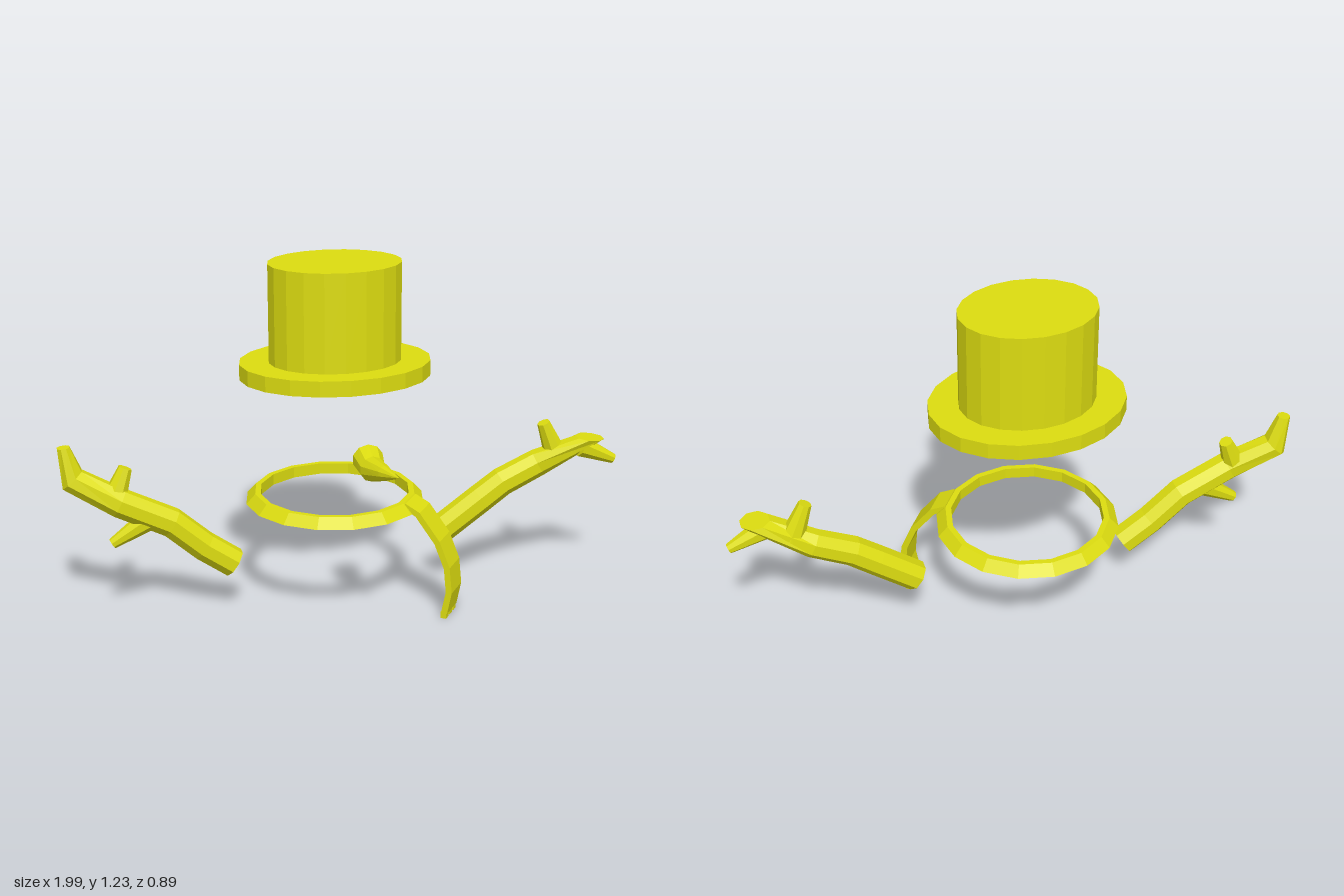
import * as THREE from 'three';

const V = (p) => new THREE.Vector3(...p);

// Capped loft through rings [x, y, z, radius]; endNormal optionally tilts the last ring
function loft(rings, sides, ref, endNormal) {
  const pts = rings.map((r) => V(r));
  const n = pts.length;
  const pos = [];
  const idx = [];
  pts.forEach((p, i) => {
    const t = pts[Math.min(i + 1, n - 1)].clone().sub(pts[Math.max(i - 1, 0)]).normalize();
    if (i === n - 1 && endNormal) t.copy(V(endNormal)).normalize();
    const u = V(ref).addScaledVector(t, -V(ref).dot(t)).normalize();
    const v = t.clone().cross(u);
    for (let j = 0; j < sides; j++) {
      const a = ((j + 0.5) / sides) * Math.PI * 2;
      const q = p.clone().addScaledVector(u, Math.cos(a) * rings[i][3]).addScaledVector(v, Math.sin(a) * rings[i][3]);
      pos.push(q.x, q.y, q.z);
    }
  });
  for (let i = 0; i < n - 1; i++) {
    for (let j = 0; j < sides; j++) {
      const k = (j + 1) % sides;
      const a = i * sides + j, b = i * sides + k;
      idx.push(a, b, b + sides, a, b + sides, a + sides);
    }
  }
  const last = (n - 1) * sides;
  for (let j = 1; j < sides - 1; j++) {
    idx.push(0, j + 1, j, last, last + j, last + j + 1);
  }
  const g = new THREE.BufferGeometry();
  g.setAttribute('position', new THREE.Float32BufferAttribute(pos, 3));
  g.setIndex(idx);
  g.computeVertexNormals();
  return g;
}

export function createModel() {
  const model = new THREE.Group();
  const yellow = new THREE.MeshStandardMaterial({ color: 0xdcdc10, flatShading: true });
  yellow.name = 'yellow';
  const add = (name, geometry, parent = model) => {
    const mesh = new THREE.Mesh(geometry, yellow);
    mesh.name = name;
    parent.add(mesh);
    return mesh;
  };
  const group = (name) => {
    const g = new THREE.Group();
    g.name = name;
    model.add(g);
    return g;
  };

  // Oval top hat
  const hat = group('hat');
  const drum = (name, rx, rz, y0, y1) => {
    const g = new THREE.CylinderGeometry(1, 1, y1 - y0, 20);
    g.scale(rx, 1, rz);
    add(name, g, hat).position.set(-0.037, (y0 + y1) / 2, -0.127);
  };
  drum('hatBrim', 0.335, 0.265, 0.83, 0.885);
  drum('hatCrown', 0.232, 0.183, 0.885, 1.23);

  // Carrot nose with a bent tip
  add('nose', loft([
    [0.012, 0.62, 0.168, 0.053], [0.012, 0.608, 0.242, 0.044],
    [0.03, 0.628, 0.345, 0.025], [0.052, 0.645, 0.445, 0.001],
  ], 10, [1, 0, 0]));

  // Scarf: bevelled loop, hanging tail and fringe
  const scarf = group('scarf');
  scarf.position.set(-0.04, 0, -0.127);
  const section = [[0.265, 0.37], [0.317, 0.375], [0.285, 0.41], [0.265, 0.41], [0.265, 0.37]];
  add('scarfLoop', new THREE.LatheGeometry(section.map((p) => new THREE.Vector2(...p)), 16), scarf);

  const tail = new THREE.Group();
  tail.name = 'scarfTail';
  tail.rotation.y = -0.59;
  scarf.add(tail);
  const path = [[0.28, 0.4], [0.33, 0.375], [0.403, 0.28], [0.44, 0.19], [0.449, 0.1], [0.433, 0.02]];
  const edge = (s) => path.map(([r, y], i) => {
    const a = path[Math.max(i - 1, 0)], b = path[Math.min(i + 1, path.length - 1)];
    const d = new THREE.Vector2(b[0] - a[0], b[1] - a[1]).normalize();
    return new THREE.Vector2(r - d.y * s, y + d.x * s);
  });
  const strip = new THREE.Shape([...edge(0.011), ...edge(-0.011).reverse()]);
  const cloth = new THREE.ExtrudeGeometry(strip, { depth: 0.106, bevelEnabled: false });
  cloth.translate(0, 0, -0.053);
  add('tailCloth', cloth, tail);
  for (const z of [-0.04, 0, 0.04]) {
    add('fringe', new THREE.BoxGeometry(0.02, 0.024, 0.026), tail).position.set(0.431, 0.012, z);
  }

  // Stick arms with twigs
  const leftArm = group('leftArm');
  add('branch', loft([
    [0.36, 0.225, -0.13, 0.053], [0.5, 0.328, -0.13, 0.053], [0.578, 0.385, -0.13, 0.052],
    [0.71, 0.448, -0.13, 0.05], [0.89, 0.548, -0.085, 0.052],
  ], 8, [0, 0, 1], [0.08, 1, 0]), leftArm);
  const rightArm = group('rightArm');
  add('branch', loft([
    [-0.41, 0.175, -0.087, 0.053], [-0.515, 0.248, -0.087, 0.053], [-0.625, 0.345, -0.087, 0.053],
    [-0.8, 0.43, -0.09, 0.052], [-0.955, 0.515, -0.125, 0.048], [-0.98, 0.632, -0.125, 0.023],
  ], 8, [0, 0, 1], [-0.1, 1, 0]), rightArm);

  const twigs = [
    [leftArm, [0.775, 0.48, -0.12, 0.042], [0.723, 0.605, -0.115, 0.023]],
    [leftArm, [0.86, 0.515, -0.09, 0.04], [0.985, 0.457, -0.092, 0.018]],
    [rightArm, [-0.815, 0.45, -0.1, 0.042], [-0.775, 0.55, -0.108, 0.024]],
    [rightArm, [-0.7, 0.365, -0.087, 0.04], [-0.832, 0.283, -0.087, 0.019]],
  ];
  for (const [arm, base, tip] of twigs) add('twig', loft([base, tip], 8, [0, 0, 1]), arm);

  return model;
}
